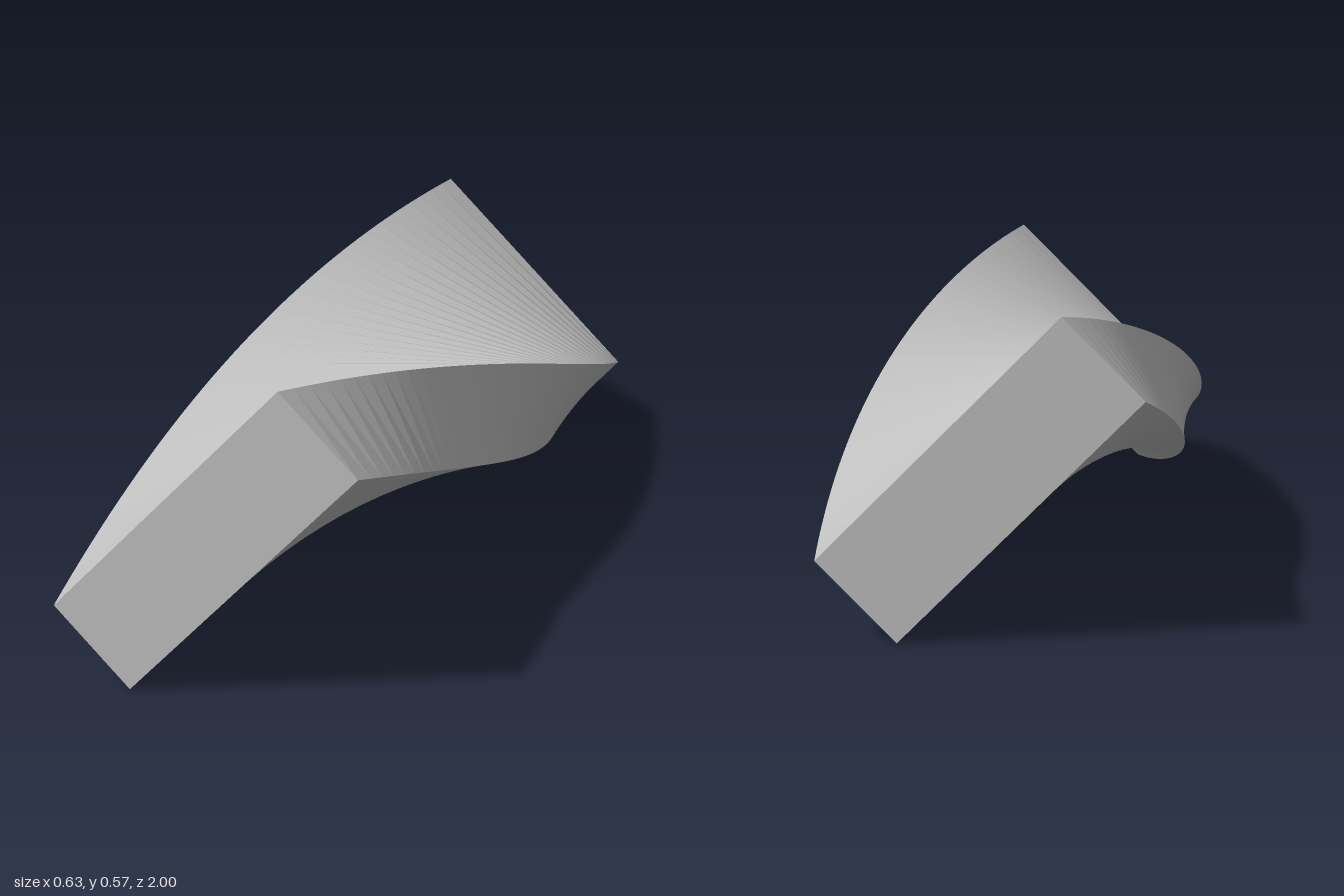
import * as THREE from 'three';

const WIDTH = 0.6, THICKNESS = 0.2, LENGTH = 2, SEGMENTS = 40;
const TWIST = Math.PI / 2;

export function createModel() {
  const group = new THREE.Group();
  group.name = 'twistedBar';

  const grey = new THREE.MeshStandardMaterial({ color: 0xbfbfbf, flatShading: true });
  grey.name = 'light grey';

  // Flat bar, turned a quarter turn evenly along its length
  const geometry = new THREE.BoxGeometry(WIDTH, THICKNESS, LENGTH, 1, 1, SEGMENTS);
  const position = geometry.attributes.position;
  const axis = new THREE.Vector3(0, 0, 1);
  const v = new THREE.Vector3();
  for (let i = 0; i < position.count; i++) {
    v.fromBufferAttribute(position, i);
    v.applyAxisAngle(axis, TWIST * v.z / LENGTH);
    position.setXYZ(i, v.x, v.y, v.z);
  }

  // Stand the lowest corner of the 45 degree ends on the ground
  geometry.translate(0, (WIDTH + THICKNESS) / 2 * Math.SQRT1_2, 0);
  geometry.computeVertexNormals();

  const bar = new THREE.Mesh(geometry, grey);
  bar.name = 'bar';
  group.add(bar);
  return group;
}
